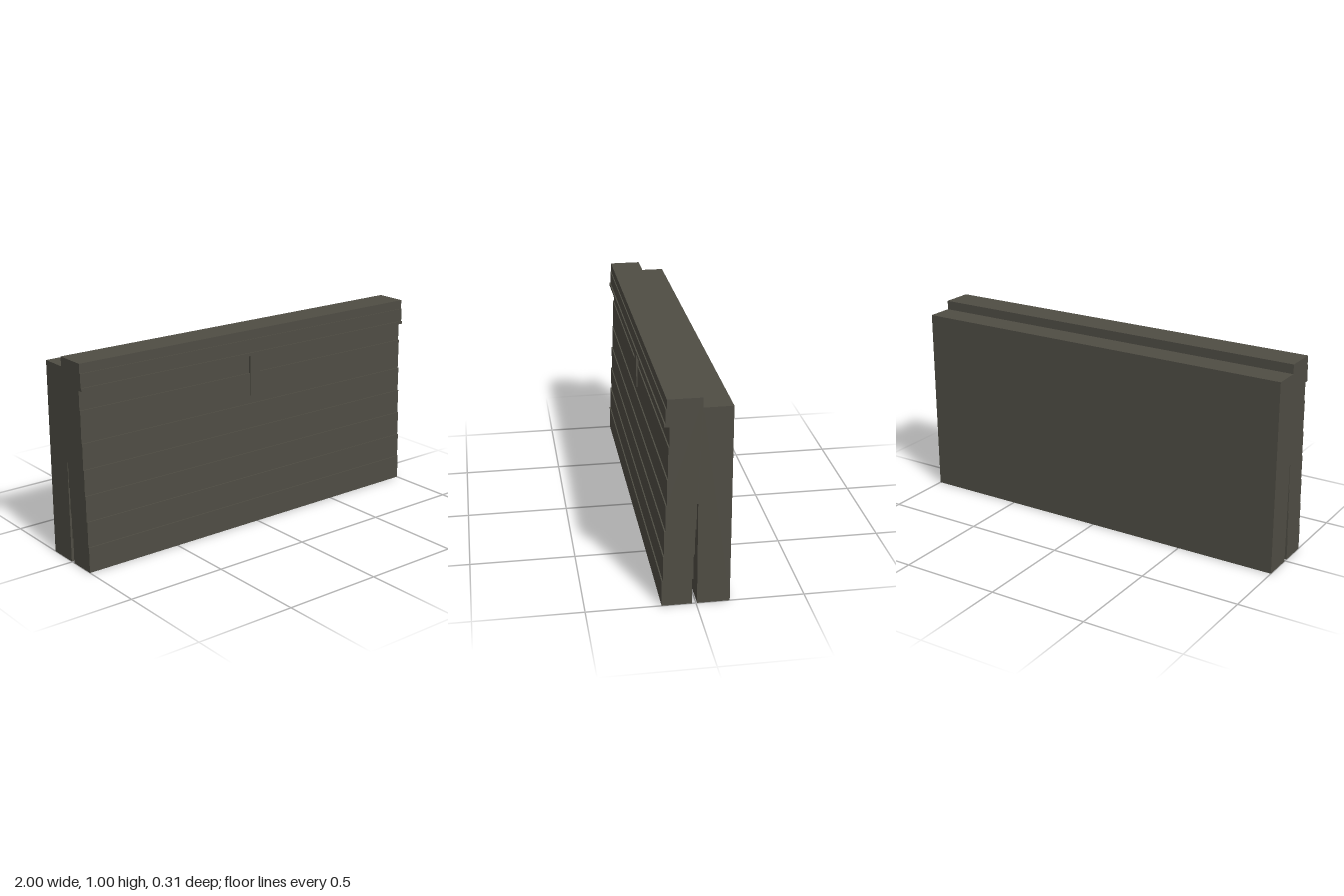
import * as THREE from 'three';

const LENGTH = 2;
const COURSE = 0.125; // height of one stepped course
const STEP = 0.0057; // setback of each course

export function createModel() {
  const group = new THREE.Group();
  const stone = new THREE.MeshStandardMaterial({ color: 0x4f4d44 });
  stone.name = 'dark stone';

  // Wall cross-section as [z, y], starting at the back foot of the slot
  const profile = [[-0.155, 0], [-0.005, 0], [-0.005, 0.5]];

  // Slot side of the front leaf, stepping forward towards the ground
  for (let i = 3; i >= 0; i--) {
    const z = 0.018 - STEP * i;
    profile.push([z, COURSE * (i + 1)], [z, COURSE * i]);
  }

  // Front face, each course set back from the one below
  const tops = [0.125, 0.25, 0.375, 0.5, 0.625, 0.78, 0.873];
  let y = 0;
  tops.forEach((top, i) => {
    const z = 0.156 - STEP * i;
    profile.push([z, y], [z, top]);
    y = top;
  });

  // Projecting ledge, cap courses and rear rebate
  profile.push(
    [0.145, 0.873], [0.145, 0.888], [0.139, 0.888], [0.139, 0.954],
    [0.134, 0.954], [0.134, 1], [-0.022, 1], [-0.022, 0.954], [-0.155, 0.954],
  );

  const shape = new THREE.Shape(profile.map(([z, h]) => new THREE.Vector2(z, h)));
  const wallGeometry = new THREE.ExtrudeGeometry(shape, { depth: LENGTH, bevelEnabled: false });
  wallGeometry.rotateY(-Math.PI / 2).translate(LENGTH / 2, 0, 0);
  const wall = new THREE.Mesh(wallGeometry, stone);
  wall.name = 'steppedWall';
  group.add(wall);

  // Small upright bracket under the ledge
  const bracket = new THREE.Mesh(new THREE.BoxGeometry(0.06, 0.206, 0.013), stone);
  bracket.position.set(0, 0.77, 0.1268);
  bracket.name = 'ledgeBracket';
  group.add(bracket);

  return group;
}
